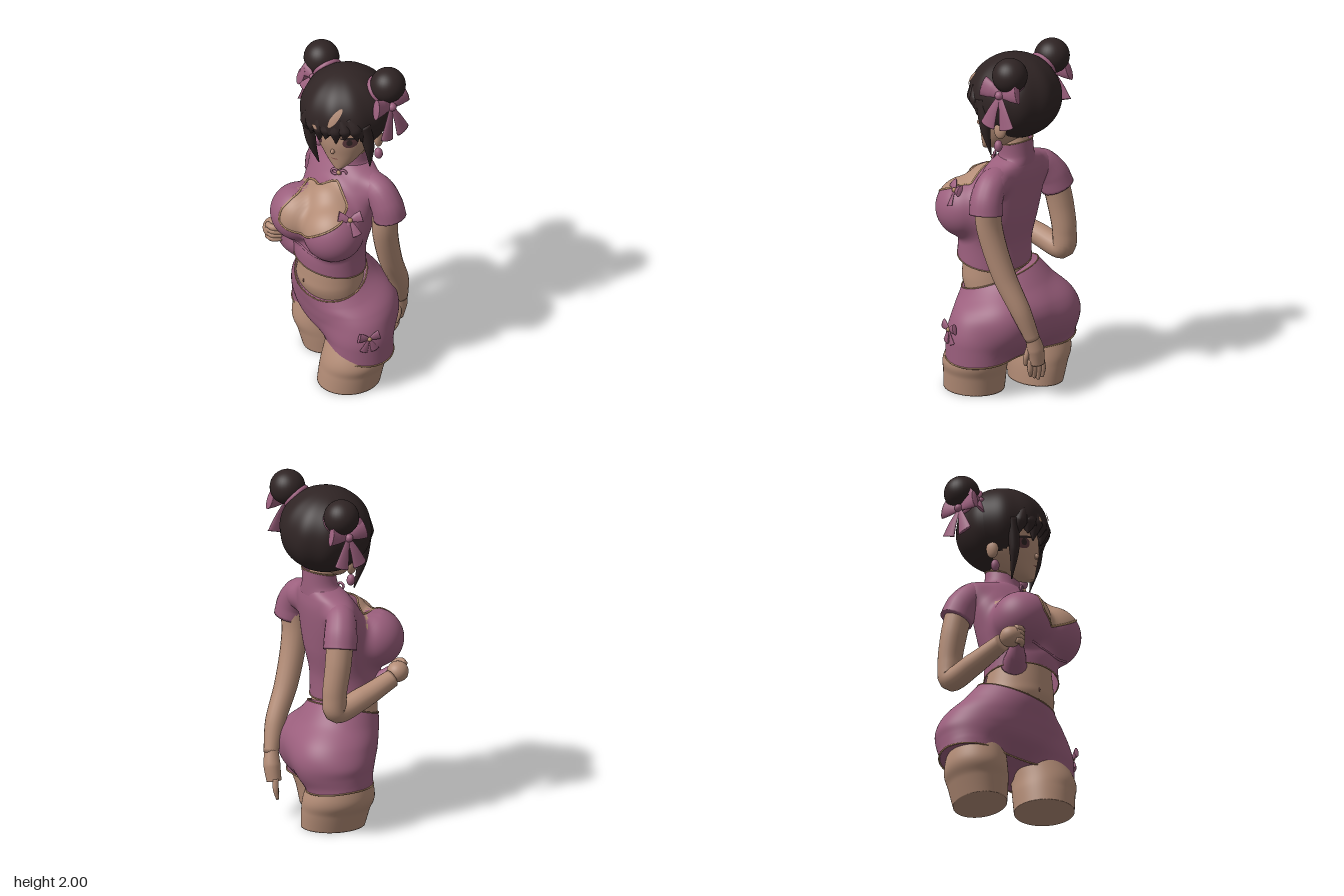
import * as THREE from 'three';

const mat = (name, color, side = THREE.FrontSide) => {
  const m = new THREE.MeshStandardMaterial({ color, side });
  m.name = name;
  return m;
};
const V = (p) => new THREE.Vector3(...p);
const add = (parent, name, geo, material) => {
  const m = new THREE.Mesh(geo, material);
  m.name = name;
  parent.add(m);
  return m;
};

// Closed-around grid of points; rows run along the part
function grid(point, rows, seg, flip) {
  const pos = [], idx = [];
  for (let i = 0; i <= rows; i++)
    for (let j = 0; j < seg; j++) pos.push(...point(i, (j / seg) * Math.PI * 2));
  for (let i = 0; i < rows; i++)
    for (let j = 0; j < seg; j++) {
      const a = i * seg + j, c = i * seg + ((j + 1) % seg), b = a + seg, d = c + seg;
      if (flip) idx.push(a, c, b, c, d, b);
      else idx.push(a, b, c, c, b, d);
    }
  const g = new THREE.BufferGeometry();
  g.setAttribute('position', new THREE.Float32BufferAttribute(pos, 3));
  g.setIndex(idx);
  g.computeVertexNormals();
  return g;
}

// Ring: [y, centre x, centre z, radius x, radius z, turn in degrees, tilt x, tilt z]
// Solid: [x, y, z, radius, reaches down], melted into the ring with softness k
function ringPoint([y, cx, cz, rx, rz, deg = 0, tx = 0, tz = 0], a, solids, k) {
  const t = THREE.MathUtils.degToRad(deg), u = Math.cos(a) * rx, v = Math.sin(a) * rz;
  const dx = u * Math.cos(t) - v * Math.sin(t), dz = u * Math.sin(t) + v * Math.cos(t);
  const py = y + tx * (cx + dx) + tz * (cz + dz), base = Math.hypot(dx, dz);
  let lo = base, hi = solids.length ? 0.6 : base;
  const field = (r) => solids.reduce((d, [sx, sy, sz, sr, down]) => {
    const h = down ? Math.max(0, py - sy) : py - sy;
    const e = Math.hypot(cx + (dx * r) / base - sx, h, cz + (dz * r) / base - sz) - sr;
    return Math.min(d, e) - (Math.max(k - Math.abs(d - e), 0) ** 2) / (4 * k);
  }, r - base);
  for (let n = 0; n < 22 && hi > lo; n++) {
    const m = (lo + hi) / 2;
    if (field(m) < 0) lo = m;
    else hi = m;
  }
  return [cx + (dx * lo) / base, py, cz + (dz * lo) / base];
}
function mixRings(rings, t) {
  const f = t * (rings.length - 1), i = Math.min(Math.floor(f), rings.length - 2), s = f - i;
  const at = (n) => rings[Math.max(0, Math.min(rings.length - 1, n))];
  return at(i).map((b, k) => {
    const a = at(i - 1)[k], c = at(i + 1)[k], d = at(i + 2)[k];
    return b + 0.5 * s * (c - a + s * (2 * a - 5 * b + 4 * c - d + s * (3 * (b - c) + d - a)));
  });
}
function loft(rings, { capped = true, rows = 36, seg = 56, solids = [], k = 0.05 } = {}) {
  return grid((i, a) => {
    const ring = mixRings(rings, capped ? Math.max(0, Math.min(1, (i - 1) / (rows - 2))) : i / rows);
    const p = ringPoint(ring, a, solids, k);
    return capped && (i === 0 || i === rows) ? [ring[1], p[1], ring[2]] : p;
  }, rows, seg, false);
}
// Thin piping along one row of a loft
function piping(geo, row, seg, r) {
  const pts = Array.from({ length: seg / 2 }, (_, j) =>
    new THREE.Vector3().fromBufferAttribute(geo.attributes.position, row * seg + j * 2));
  return new THREE.TubeGeometry(new THREE.CatmullRomCurve3(pts, true), 100, r, 6, true);
}

// Tapered round limb along a smooth path, with closed ends
function limb(points, radii, rows = 26, seg = 18) {
  const curve = new THREE.CatmullRomCurve3(points.map(V));
  const n = rows - 2, fr = curve.computeFrenetFrames(n);
  return grid((i, a) => {
    const k = Math.max(0, Math.min(n, i - 1));
    const f = curve.getUtoTmapping(k / n) * (radii.length - 1), q = Math.min(Math.floor(f), radii.length - 2);
    const r = i === 0 || i === rows ? 0.0005 : THREE.MathUtils.lerp(radii[q], radii[q + 1], f - q);
    return curve.getPointAt(k / n).addScaledVector(fr.normals[k], Math.cos(a) * r)
      .addScaledVector(fr.binormals[k], Math.sin(a) * r).toArray();
  }, rows, seg, true);
}
const ball = (p, r, s = [1, 1, 1], w = 32, h = 24) =>
  new THREE.SphereGeometry(r, w, h).scale(...s).translate(...p);

// Height of the frontmost surface at x, y
const ray = new THREE.Raycaster();
function frontZ(mesh, x, y) {
  ray.set(new THREE.Vector3(x, y, 3), new THREE.Vector3(0, 0, -1));
  const h = ray.intersectObject(mesh)[0];
  return h ? h.point.z : 0;
}
function drape(geo, mesh, lift) {
  const p = geo.attributes.position;
  for (let i = 0; i < p.count; i++) p.setZ(i, frontZ(mesh, p.getX(i), p.getY(i)) + lift);
  geo.computeVertexNormals();
  return geo;
}
const oval = (x, y, w, h, turn = 0) =>
  new THREE.RingGeometry(0.001, 1, 24, 3).scale(w, h, 1).rotateZ(turn).translate(x, y, 0);

// Sort triangles into two groups (rest, chosen); optionally drop the chosen ones
function split(geo, test, drop = false) {
  const p = geo.attributes.position, ix = geo.index.array, out = [[], []];
  const tri = new THREE.Triangle(), mid = new THREE.Vector3(), nor = new THREE.Vector3();
  for (let i = 0; i < ix.length; i += 3) {
    tri.setFromAttributeAndIndices(p, ix[i], ix[i + 1], ix[i + 2]);
    out[test(tri.getMidpoint(mid), tri.getNormal(nor)) ? 1 : 0].push(ix[i], ix[i + 1], ix[i + 2]);
  }
  geo.setIndex(drop ? out[0] : out[0].concat(out[1]));
  if (!drop) {
    geo.addGroup(0, out[0].length, 0);
    geo.addGroup(out[0].length, out[1].length, 1);
  }
  return geo;
}
const inside = (poly, x, y) => poly.reduce((odd, a, i) => {
  const b = poly[(i + 1) % poly.length];
  return (a.y > y) !== (b.y > y) && x < ((b.x - a.x) * (y - a.y)) / (b.y - a.y) + a.x ? !odd : odd;
}, false);

export function createModel() {
  const g = new THREE.Group();
  g.name = 'figure';
  const cloth = mat('rose cloth', 0x9b5f7d, THREE.DoubleSide), skin = mat('skin', 0xb48d77);
  const hair = mat('dark hair', 0x2f2424, THREE.DoubleSide), trim = mat('tan trim', 0xb08a66);
  const iris = mat('eye brown', 0x5a383c), lip = mat('lip', 0x8d5d54);

  // Thighs, and shorts melted over hips and seat
  add(g, 'leftThigh', loft([[0, 0.115, 0.165, 0.165, 0.178, 45], [0.1, 0.13, 0.158, 0.172, 0.182, 45],
    [0.2, 0.15, 0.148, 0.176, 0.184, 45], [0.4, 0.14, 0.09, 0.14, 0.14, 45]]), skin);
  add(g, 'rightThigh', loft([[0, -0.088, -0.145, 0.14, 0.18, 45], [0.1, -0.108, -0.15, 0.158, 0.192, 45],
    [0.2, -0.135, -0.155, 0.17, 0.198, 45], [0.4, -0.14, -0.14, 0.14, 0.14, 45]]), skin);
  const shorts = loft([[0.23, 0, -0.035, 0.32, 0.15, 45, -0.17, 0], [0.32, 0, -0.04, 0.365, 0.225, 45, -0.09, 0],
    [0.41, 0, -0.045, 0.385, 0.255, 45, 0, 0], [0.49, -0.005, -0.03, 0.35, 0.255, 45, 0, -0.05],
    [0.57, -0.022, 0.01, 0.275, 0.225, 45, 0, -0.18], [0.645, -0.035, 0.045, 0.22, 0.195, 45, 0, -0.36]],
    { rows: 60, seg: 96, k: 0.06, solids: [[0.17, 0.3, 0.13, 0.184, true], [-0.15, 0.3, -0.172, 0.184, true],
      [0.165, 0.4, 0, 0.17], [-0.085, 0.4, -0.215, 0.17]] });
  add(g, 'shorts', shorts, cloth);
  add(g, 'shortsHem', piping(shorts, 1, 96, 0.005), trim);
  add(g, 'waistTrim', piping(shorts, 59, 96, 0.004), trim);

  // Midriff
  add(g, 'midriff', loft([[0.5, -0.02, 0.02, 0.21, 0.18, 45], [0.6, -0.035, 0.05, 0.212, 0.185, 45],
    [0.68, -0.032, 0.062, 0.198, 0.178, 42], [0.86, -0.03, 0.07, 0.17, 0.16, 38]]), skin);
  add(g, 'navel', ball([-0.135, 0.635, 0.212], 0.01, [0.5, 1.3, 0.4], 12, 8), lip);

  // Cropped top melted over bust and shoulders, with a keyhole neckline
  const keyhole = new THREE.CatmullRomCurve3([[-0.255, 1.06], [-0.25, 1.125], [-0.2, 1.185], [-0.12, 1.232], [0.02, 1.285],
    [0.1, 1.21], [0.12, 1.16], [0, 1.09], [-0.13, 1.012], [-0.21, 1.025]].map(([x, y]) => V([x, y, 0])), true, 'catmullrom', 0.3);
  const outline = keyhole.getPoints(90);
  const topGeo = loft([[0.722, -0.03, 0.075, 0.212, 0.195, 40, -0.17, 0.1], [0.85, -0.03, 0.07, 0.212, 0.195, 35, -0.05, 0.03],
    [1.0, -0.01, 0.035, 0.235, 0.185, 30, 0, 0], [1.15, 0, -0.005, 0.245, 0.165, 28, 0, 0], [1.25, 0.015, -0.035, 0.235, 0.14, 27, 0, 0],
    [1.315, 0.03, -0.05, 0.205, 0.115, 27, 0, 0], [1.365, 0.045, -0.06, 0.1, 0.09, 27, 0, 0]],
    { capped: false, rows: 130, seg: 160, k: 0.045, solids: [[-0.19, 1.04, 0.125, 0.164], [0.045, 1.03, 0.22, 0.172],
      [-0.01, 1.13, 0.1, 0.14], [0.235, 1.24, 0.035, 0.085], [-0.145, 1.24, -0.155, 0.082]] });
  const top = add(g, 'top', split(topGeo, (c, n) => n.z > -0.2 && c.z > -0.02 && inside(outline, c.x, c.y)), [cloth, skin]);
  const edge = keyhole.getPoints(70).slice(0, -1).map((p) => V([p.x, p.y, frontZ(top, p.x, p.y)]));
  add(g, 'keyholeTrim', new THREE.TubeGeometry(new THREE.CatmullRomCurve3(edge, true), 160, 0.006, 6, true), trim);
  add(g, 'topHem', piping(topGeo, 0, 160, 0.004), trim);
  add(g, 'pulledCloth', limb([[-0.31, 0.88, 0.14], [-0.25, 0.81, 0.11], [-0.18, 0.77, 0.08]], [0.025, 0.055, 0.075]), cloth);
  const fold = Array.from({ length: 9 }, (_, i) => {
    const x = -0.22 + i * 0.036, y = 0.88 + 0.015 * Math.cos(i * 0.6);
    return V([x, y, frontZ(top, x, y)]);
  });
  add(g, 'clothFold', new THREE.TubeGeometry(new THREE.CatmullRomCurve3(fold), 40, 0.006, 6), cloth);

  // Neck, collar and clasp
  add(g, 'neck', limb([[0.05, 1.28, -0.06], [0.045, 1.4, -0.06], [0.03, 1.54, -0.05]], [0.08, 0.07, 0.07]), skin);
  const collar = loft([[1.325, 0.045, -0.055, 0.145, 0.105, 24, 0, 0], [1.365, 0.05, -0.06, 0.105, 0.098, 15, 0, -0.1],
    [1.425, 0.058, -0.06, 0.095, 0.094, 0, 0.1, -0.25]], { capped: false });
  add(g, 'collar', collar, cloth);
  add(g, 'collarTrim', piping(collar, 36, 56, 0.004), trim);
  for (const s of [-1, 1])
    add(g, 'claspLoop', new THREE.TorusGeometry(0.018, 0.007, 8, 18).translate(0.022 + s * 0.026, 1.325, 0.07), cloth);
  add(g, 'claspKnot', ball([0.022, 1.325, 0.075], 0.013, [1, 1, 1], 14, 10), trim);

  // Arms, sleeves and hands
  add(g, 'leftSleeve', limb([[0.15, 1.265, 0], [0.25, 1.24, 0.045], [0.303, 1.165, 0.065], [0.32, 1.09, 0.065]],
    [0.07, 0.086, 0.092, 0.094]), cloth);
  add(g, 'rightSleeve', limb([[-0.08, 1.265, -0.1], [-0.15, 1.24, -0.165], [-0.185, 1.17, -0.22], [-0.2, 1.09, -0.25]],
    [0.065, 0.083, 0.092, 0.095]), cloth);
  add(g, 'leftArm', limb([[0.3, 1.16, 0.06], [0.285, 1, 0.05], [0.287, 0.73, -0.03], [0.3, 0.52, -0.13], [0.288, 0.36, -0.192]],
    [0.075, 0.073, 0.066, 0.056, 0.041], 40), skin);
  add(g, 'leftHand', limb([[0.288, 0.38, -0.187], [0.273, 0.3, -0.205], [0.255, 0.21, -0.212]], [0.039, 0.048, 0.042]), skin);
  for (let i = 0; i < 4; i++)
    add(g, 'leftFinger', limb([[0.232 + i * 0.014, 0.23, -0.232 + i * 0.018], [0.226 + i * 0.014, 0.17, -0.24 + i * 0.022],
      [0.218 + i * 0.012, 0.105 + Math.abs(i - 1) * 0.012, -0.234 + i * 0.02]], [0.017, 0.016, 0.009], 14, 10), skin);
  add(g, 'leftThumb', limb([[0.278, 0.31, -0.175], [0.288, 0.25, -0.155], [0.278, 0.2, -0.15]], [0.02, 0.016, 0.009], 14, 10), skin);
  add(g, 'rightArm', limb([[-0.19, 1.16, -0.23], [-0.197, 1, -0.265], [-0.19, 0.83, -0.29], [-0.195, 0.735, -0.28],
    [-0.265, 0.775, -0.13], [-0.345, 0.85, 0.06]], [0.076, 0.074, 0.068, 0.067, 0.063, 0.05], 60), skin);
  add(g, 'rightFist', ball([-0.35, 0.875, 0.11], 0.06, [1, 0.98, 1.05]), skin);
  for (let i = 0; i < 4; i++)
    add(g, 'rightFinger', limb([[-0.375, 0.915 - i * 0.025, 0.145], [-0.335, 0.918 - i * 0.025, 0.168],
      [-0.285, 0.908 - i * 0.022, 0.152]], [0.017, 0.018, 0.013], 14, 10), skin);

  // Bows
  function bow(name, s, pos, yaw, pitch, tail, knot) {
    const b = new THREE.Group();
    b.name = name;
    for (const d of [-1, 1]) {
      add(b, 'loop', limb([[0, 0, 0], [d * 0.45, 0.14, 0], [d * 0.88, 0.25, 0]], [0.12, 0.34, 0.46]).scale(1, 1, 0.4), cloth);
      add(b, 'tail', limb([[0, 0, 0], [d * 0.26, -tail * 0.5, 0.1], [d * 0.48, -tail, 0]], [0.08, 0.22, 0.36]).scale(1, 1, 0.3), cloth);
    }
    add(b, 'knot', ball([0, 0, 0.06], 0.19, [1, 1, 1], 16, 12), knot);
    b.scale.setScalar(s);
    b.position.set(...pos);
    b.rotation.set(pitch, yaw, 0, 'YXZ');
    g.add(b);
  }
  bow('chestBow', 0.075, [0.16, 1.165, 0.265], 0.45, -0.5, 1.15, trim);
  bow('shortsBow', 0.068, [0.278, 0.385, 0.278], 0.7, 0, 1.15, trim);
  bow('leftBunBow', 0.13, [0.3, 1.795, -0.01], 1.15, -0.15, 1.4, cloth);
  bow('rightBunBow', 0.125, [-0.235, 1.75, -0.22], -2, -0.15, 1.3, cloth);
  bow('rightBunFrontBow', 0.09, [-0.2, 1.8, -0.11], -0.35, -0.4, 0.9, cloth);

  // Hair buns with ribbons
  const centre = [0.02, 1.7, -0.05];
  for (const [side, p] of [['left', [0.262, 1.9, -0.06]], ['right', [-0.19, 1.862, -0.22]]]) {
    add(g, side + 'Bun', ball(p, 0.099), hair);
    const dir = V(p).sub(V(centre)).normalize();
    const band = add(g, side + 'BunRibbon', new THREE.TorusGeometry(0.07, 0.015, 10, 32), cloth);
    band.quaternion.setFromUnitVectors(V([0, 0, 1]), dir);
    band.position.copy(V(p)).addScaledVector(dir, -0.072);
  }

  // Head, turned and tipped slightly
  const head = new THREE.Group();
  head.name = 'head';
  const face = add(head, 'face', loft([[-0.315, 0, 0.145, 0.025, 0.03], [-0.28, 0, 0.1, 0.075, 0.08], [-0.22, 0, 0.06, 0.125, 0.128],
    [-0.14, 0, 0.03, 0.168, 0.17], [-0.05, 0, 0.01, 0.185, 0.19], [0.05, 0, 0, 0.185, 0.195], [0.15, 0, 0, 0.15, 0.16]]), skin);
  add(head, 'nose', ball([0, -0.18, 0.195], 0.016, [0.7, 1, 1.3], 14, 10), skin);
  add(head, 'mouth', drape(oval(0, -0.235, 0.022, 0.004), face, 0.003), lip);
  for (const s of [-1, 1]) {
    add(head, 'eye', drape(oval(s * 0.1, -0.122, 0.035, 0.033), face, 0.003), iris);
    add(head, 'pupil', drape(oval(s * 0.1, -0.119, 0.014, 0.019), face, 0.006), hair);
    add(head, 'lash', drape(oval(s * 0.102, -0.091, 0.046, 0.008, -s * 0.15), face, 0.007), hair);
    add(head, 'ear', ball([s * 0.195, -0.16, 0.02], 0.048, [0.45, 1.1, 0.75], 18, 14), skin);
    add(head, 'earring', ball([s * 0.19, -0.255, 0.03], 0.024, [1, 1.4, 1], 16, 12), cloth);
  }

  // Hair cap with shallow grooves and an opening for the face
  const shell = new THREE.SphereGeometry(1, 96, 64), sp = shell.attributes.position;
  for (let i = 0; i < sp.count; i++) {
    const x = sp.getX(i), y = sp.getY(i), z = sp.getZ(i);
    const k = 1 + 0.014 * Math.sin(Math.atan2(x, z) * 10) * Math.hypot(x, z);
    sp.setXYZ(i, x * 0.253 * k, y * 0.24, z * 0.258 * k);
  }
  shell.computeVertexNormals();
  const cap = add(head, 'hairCap', split(shell, (c) => c.z > 0 && c.y < -0.03 && Math.abs(c.x) < 0.17, true), hair);
  const capZ = (x, y) => 0.258 * Math.sqrt(Math.max(0, 1 - (x / 0.253) ** 2 - (y / 0.24) ** 2)) - 0.033;
  for (let i = -3; i <= 3; i++) {
    const x = i * 0.05, tip = -0.08 - 0.03 * Math.abs(i % 2);
    add(head, 'fringeLock', limb([[x * 0.8, 0.06, capZ(x * 0.8, 0.06)], [x, -0.015, capZ(x, -0.015)],
      [x * 1.05 - 0.015, tip, capZ(x * 1.05, tip) + 0.022]], [0.028, 0.044, 0.003], 18, 14), hair);
  }
  add(head, 'foreheadGap', drape(oval(0.065, 0.075, 0.02, 0.06, -0.6), cap, 0.008), skin);
  add(head, 'foreheadGapSide', drape(oval(-0.06, 0.01, 0.012, 0.018, 0.8), cap, 0.012), skin);
  add(head, 'rightSideLock', limb([[-0.17, 0, 0.14], [-0.168, -0.18, 0.14], [-0.155, -0.34, 0.11]], [0.04, 0.028, 0.003]), hair);
  add(head, 'leftSideLock', limb([[0.175, 0, 0.13], [0.185, -0.16, 0.11], [0.155, -0.32, 0.08]], [0.045, 0.03, 0.003]), hair);
  head.position.set(...centre);
  head.rotation.set(0, -0.14, 0.12);
  g.add(head);
  return g;
}
